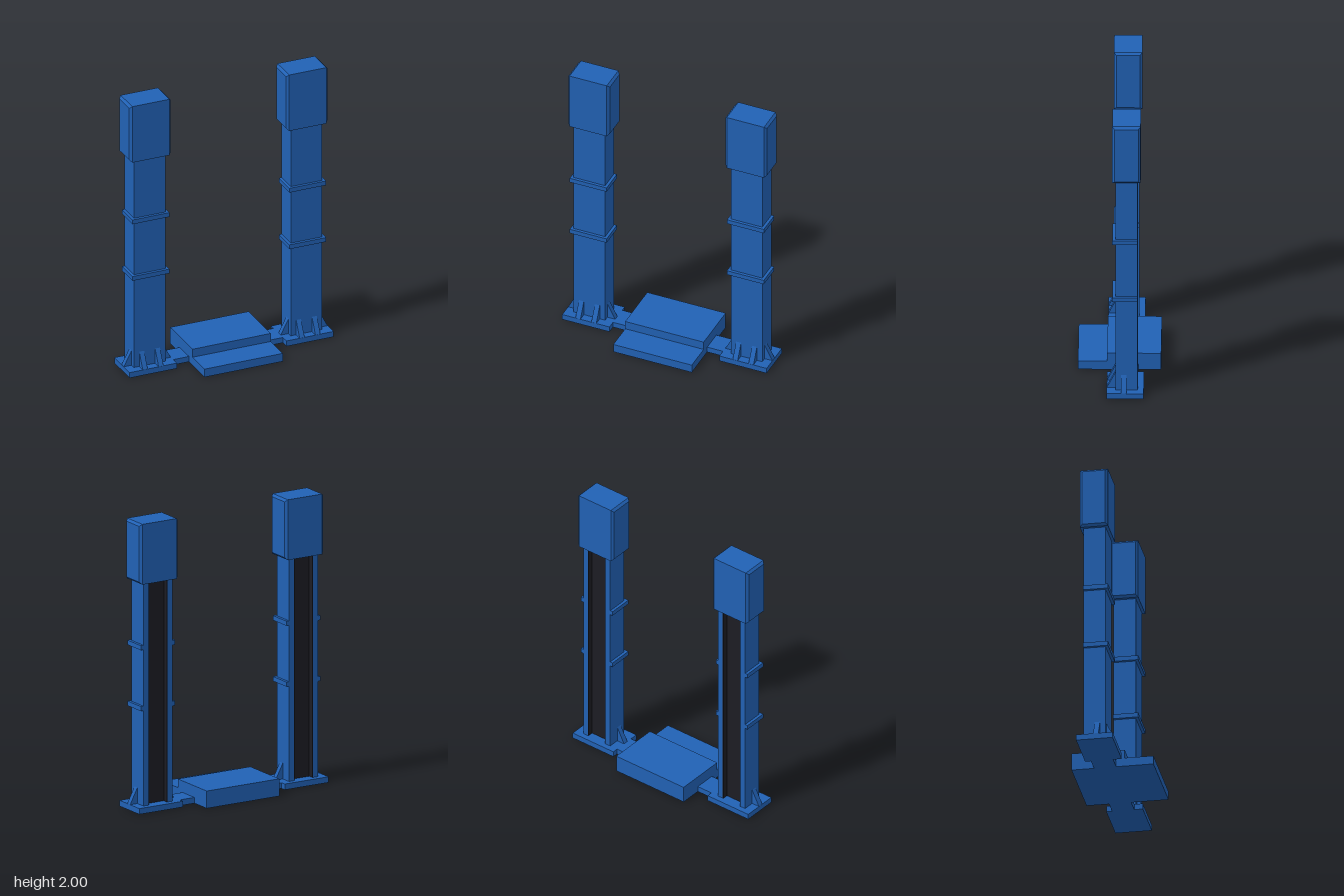
import * as THREE from 'three';

const blue = new THREE.MeshStandardMaterial({ color: 0x2161b4 });
blue.name = 'blue paint';
const black = new THREE.MeshStandardMaterial({ color: 0x1c1c23 });
black.name = 'black track';

// Box given by its limits on each axis
function box(name, [x0, x1], [y0, y1], [z0, z1], mat = blue) {
  const mesh = new THREE.Mesh(new THREE.BoxGeometry(x1 - x0, y1 - y0, z1 - z0), mat);
  mesh.position.set((x0 + x1) / 2, (y0 + y1) / 2, (z0 + z1) / 2);
  mesh.name = name;
  return mesh;
}

function polygon(points) {
  return new THREE.Shape(points.map(([x, y]) => new THREE.Vector2(x, y)));
}

// Extrudes an (x, z) outline upwards from y0 to y1
function upright(name, points, y0, y1) {
  const geo = new THREE.ExtrudeGeometry(polygon(points.map(([x, z]) => [x, -z])), { depth: y1 - y0, bevelEnabled: false });
  geo.rotateX(-Math.PI / 2);
  const mesh = new THREE.Mesh(geo, blue);
  mesh.position.y = y0;
  mesh.name = name;
  return mesh;
}

// Triangular brace that leans outwards along local +x
function gusset(name, x, z, angle) {
  const w = 0.036;
  const geo = new THREE.ExtrudeGeometry(polygon([[0, 0.04], [0.057, 0.04], [0, 0.15]]), { depth: w, bevelEnabled: false });
  geo.translate(0, 0, -w / 2);
  const mesh = new THREE.Mesh(geo, blue);
  mesh.position.set(x, 0, z);
  mesh.rotation.y = angle;
  mesh.name = name;
  return mesh;
}

// One column, centred on its own x axis
function createPost(name) {
  const post = new THREE.Group();
  post.name = name;
  const front = 0.025, back = -0.125, half = 0.115, slot = 0.076, floor = -0.08;

  post.add(box('basePlate', [-0.173, 0.173], [0, 0.04], [-0.165, 0.083]));

  // Channel-shaped column, open at the back
  post.add(upright('column', [
    [-half, front], [half, front], [half, back], [slot, back],
    [slot, floor], [-slot, floor], [-slot, back], [-half, back],
  ], 0.04, 1.6));

  // Black lining of the channel
  const t = 0.005;
  post.add(box('trackFloor', [-slot, slot], [0.04, 1.59], [floor - t, floor], black));
  for (const s of [-1, 1]) {
    const xs = [s * slot, s * (slot - t)].sort((a, b) => a - b);
    post.add(box('trackWall', xs, [0.04, 1.59], [back, floor], black));
  }

  // Collars around the front and sides
  for (const y of [0.7, 1.122]) {
    post.add(upright('collar', [
      [-0.135, 0.045], [0.135, 0.045], [0.135, back], [half, back],
      [half, front], [-half, front], [-half, back], [-0.135, back],
    ], y, y + 0.032));
  }

  // Foot braces
  for (const s of [-1, 1]) {
    post.add(gusset('frontGusset', s * 0.058, front, -Math.PI / 2));
    post.add(gusset('sideGusset', s * half, -0.031, s > 0 ? 0 : Math.PI));
  }

  // Head housing with bevelled ends
  const b = 0.016, hw = 0.152, hz = 0.095 - b, hy = 0.209 - b;
  const headGeo = new THREE.ExtrudeGeometry(polygon([[-hz, -hy], [hz, -hy], [hz, hy], [-hz, hy]]), {
    depth: 2 * (hw - b), bevelEnabled: true, bevelThickness: b, bevelSize: b, bevelSegments: 1,
  });
  headGeo.translate(0, 0, -(hw - b));
  headGeo.rotateY(Math.PI / 2);
  const head = new THREE.Mesh(headGeo, blue);
  head.position.set(0, 1.791, -0.05);
  head.name = 'headHousing';
  post.add(head);
  return post;
}

export function createModel() {
  const model = new THREE.Group();
  model.name = 'twinPostLift';

  // Stepped platform in the middle
  model.add(box('rearPlatform', [-0.287, 0.287], [0, 0.12], [-0.278, 0.083]));
  model.add(box('frontStep', [-0.287, 0.287], [0, 0.06], [0.083, 0.278]));

  // Posts and the links that join them to the platform
  for (const s of [-1, 1]) {
    const post = createPost(s > 0 ? 'leftPost' : 'rightPost');
    post.position.x = s * 0.575;
    model.add(post);
    const xs = [s * 0.287, s * 0.402].sort((a, b) => a - b);
    model.add(box('floorLink', xs, [0, 0.04], [-0.125, 0.025]));
  }
  return model;
}
